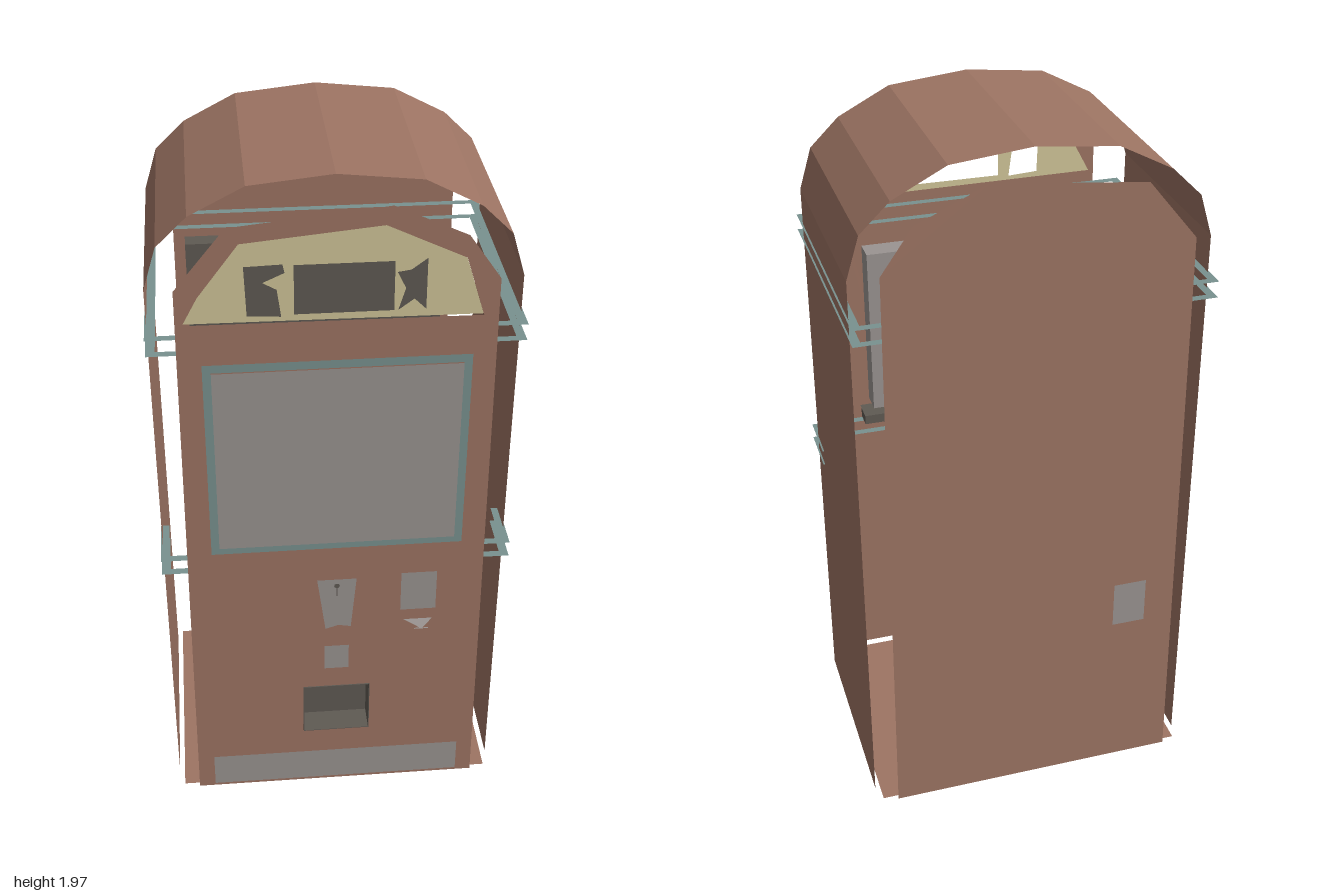
import * as THREE from 'three';

const mat = (name, color) => {
  const m = new THREE.MeshStandardMaterial({ color, side: THREE.DoubleSide });
  m.name = name;
  return m;
};

export function createModel() {
  const brown = mat('cabinet brown', 0x9d7463);
  const grey = mat('panel grey', 0x9a9491);
  const teal = mat('trim teal', 0x79928f);
  const dark = mat('recess dark', 0x5f5a53);
  const cream = mat('sign cream', 0xd0c598);

  const model = new THREE.Group();
  model.name = 'kiosk';
  const FRONT = 0.363, BACK = -0.381;

  const add = (name, geo, material) => {
    const m = new THREE.Mesh(geo, material);
    m.name = name;
    model.add(m);
    return m;
  };
  const poly = (pts, holes = []) => {
    const s = new THREE.Shape(pts.map(p => new THREE.Vector2(...p)));
    s.holes = holes.map(h => new THREE.Path(h.map(p => new THREE.Vector2(...p))));
    return s;
  };
  const rect = (x0, x1, y0, y1) => [[x0, y0], [x1, y0], [x1, y1], [x0, y1]];
  // Upright sheet at depth z
  const sheet = (name, shape, material, z) =>
    add(name, new THREE.ShapeGeometry(shape).translate(0, 0, z), material);
  // Level sheet at height y, drawn in x and z
  const level = (name, shape, material, y) =>
    add(name, new THREE.ShapeGeometry(shape).rotateX(Math.PI / 2).translate(0, y, 0), material);
  const box = (name, x0, x1, y0, y1, z0, z1, material) =>
    add(name, new THREE.BoxGeometry(x1 - x0, y1 - y0, z1 - z0)
      .translate((x0 + x1) / 2, (y0 + y1) / 2, (z0 + z1) / 2), material);

  // Arched shell, open at front and back
  const half = [[0.475, 0.043], [0.475, 1.71], [0.44, 1.825], [0.36, 1.903], [0.217, 1.977]];
  const arch = [...half.map(([x, y]) => [-x, y]), [0, 2], ...half.reverse()];
  let shell = new THREE.PlaneGeometry(1, 1, arch.length - 1, 1);
  arch.forEach(([x, y], i) => {
    shell.attributes.position.setXYZ(i, x, y, -0.318);
    shell.attributes.position.setXYZ(i + arch.length, x, y, 0.293);
  });
  shell = shell.toNonIndexed();
  shell.computeVertexNormals();
  add('archedShell', shell, brown);

  // Front and back panels
  const outline = k => [[-0.415 * k, 0.045], [0.415 * k, 0.045], [0.402 * k, 1.74], [0.318 * k, 1.86],
    [0.132 * k, 1.945], [-0.27 * k, 1.903], [-0.402 * k, 1.74]];
  const signEdge = [[-0.385, 1.645], [0.365, 1.64], [0.315, 1.8], [0.115, 1.895], [-0.24, 1.86], [-0.345, 1.72]];
  const chuteEdge = rect(-0.095, 0.095, 0.26, 0.43);
  sheet('frontPanel', poly(outline(1), [signEdge, chuteEdge]), brown, FRONT);
  sheet('backPanel', poly(outline(1.01)), brown, BACK);

  // Sign with cut-out shapes, set back a little
  sheet('sign', poly(signEdge, [
    [[-0.225, 1.66], [-0.14, 1.655], [-0.15, 1.73], [-0.185, 1.75], [-0.13, 1.775], [-0.135, 1.798], [-0.23, 1.795]],
    rect(-0.108, 0.14, 1.66, 1.795),
    [[0.15, 1.66], [0.19, 1.69], [0.22, 1.66], [0.22, 1.8], [0.18, 1.77], [0.146, 1.765], [0.168, 1.72]],
  ]), cream, FRONT - 0.008);

  // Screen, its frame and the housing behind it
  sheet('screenFrame', poly(rect(-0.342, 0.342, 0.94, 1.535), [rect(-0.32, 0.32, 0.962, 1.512)]), teal, 0.373);
  sheet('screen', poly(rect(-0.32, 0.32, 0.962, 1.512)), grey, 0.378);
  box('screenHousing', -0.3, 0.3, 0.983, 1.488, 0.295, 0.376, grey);
  box('screenShelf', -0.335, 0.335, 0.953, 0.981, 0.26, 0.312, dark);
  level('screenLedge', poly(rect(-0.335, 0.335, 0.26, 0.328)), dark, 0.982);

  // Coin plate, return, card reader and kick plate
  const PLATE = FRONT + 0.007;
  sheet('coinPlate', poly([[-0.055, 0.827], [-0.032, 0.65], [0.005, 0.662], [0.04, 0.655], [0.055, 0.827]]), grey, PLATE);
  add('coinSlot', new THREE.CircleGeometry(0.008, 10).translate(0, 0.806, PLATE + 0.002), dark);
  sheet('coinSlit', poly(rect(-0.002, 0.002, 0.77, 0.8)), dark, PLATE + 0.002);
  sheet('coinReturn', poly(rect(-0.035, 0.035, 0.5, 0.585)), grey, PLATE);
  sheet('cardReader', poly(rect(0.18, 0.28, 0.705, 0.837)), grey, PLATE);
  sheet('kickPlate', poly(rect(-0.367, 0.367, 0.06, 0.17)), grey, PLATE);
  // Small wedge-shaped lip under the card reader
  level('cardLip', poly([[0.19, 0.371], [0.272, 0.371], [0.235, 0.415]]), grey, 0.67);
  level('cardLipBar', poly(rect(0.214, 0.254, 0.411, 0.415)), grey, 0.67);

  // Delivery chute: raised border, side walls and back
  sheet('chuteBorder', poly(rect(-0.118, 0.118, 0.235, 0.455), [chuteEdge]), brown, PLATE);
  add('chuteWalls', new THREE.ExtrudeGeometry(
    poly(rect(-0.097, 0.097, 0.258, 0.432), [chuteEdge]),
    { depth: 0.076, bevelEnabled: false }).translate(0, 0, 0.297), dark);
  sheet('chuteBack', poly(chuteEdge), dark, 0.298);
  sheet('chuteFlap', poly([[-0.04, 0.276], [0.04, 0.276], [0, 0.348]]), dark, 0.306);

  // Back door with surround, its thick inner part and key plate
  sheet('doorSurround', poly(rect(-0.395, 0.395, 0.475, 1.552)), brown, BACK - 0.007);
  sheet('backDoor', poly(rect(-0.382, 0.382, 0.488, 1.54)), brown, BACK - 0.014);
  box('doorInner', -0.375, 0.375, 0.49, 1.532, -0.367, -0.315, dark);
  sheet('keyPlate', poly(rect(-0.32, -0.225, 0.565, 0.705)), grey, BACK - 0.02);

  // Upper trim rings all round, lower trim around the front only
  const ring = poly(rect(-0.48, 0.48, -0.379, 0.363), [rect(-0.456, 0.456, -0.356, 0.34)]);
  for (const y of [1.562, 1.607]) level('upperTrim', ring, teal, y);
  const wrap = poly([[-0.48, 0.2], [-0.456, 0.2], [-0.456, 0.34], [0.456, 0.34], [0.456, 0.2],
    [0.48, 0.2], [0.48, 0.363], [-0.48, 0.363]]);
  for (const y of [0.873, 0.918]) level('lowerTrim', wrap, teal, y);

  // Floor and underside
  level('floor', poly(rect(-0.46, 0.46, -0.362, 0.345)), brown, 0.04);
  level('underside', poly(rect(-0.4, 0.4, -0.31, 0.29)), dark, 0.03);

  return model;
}
